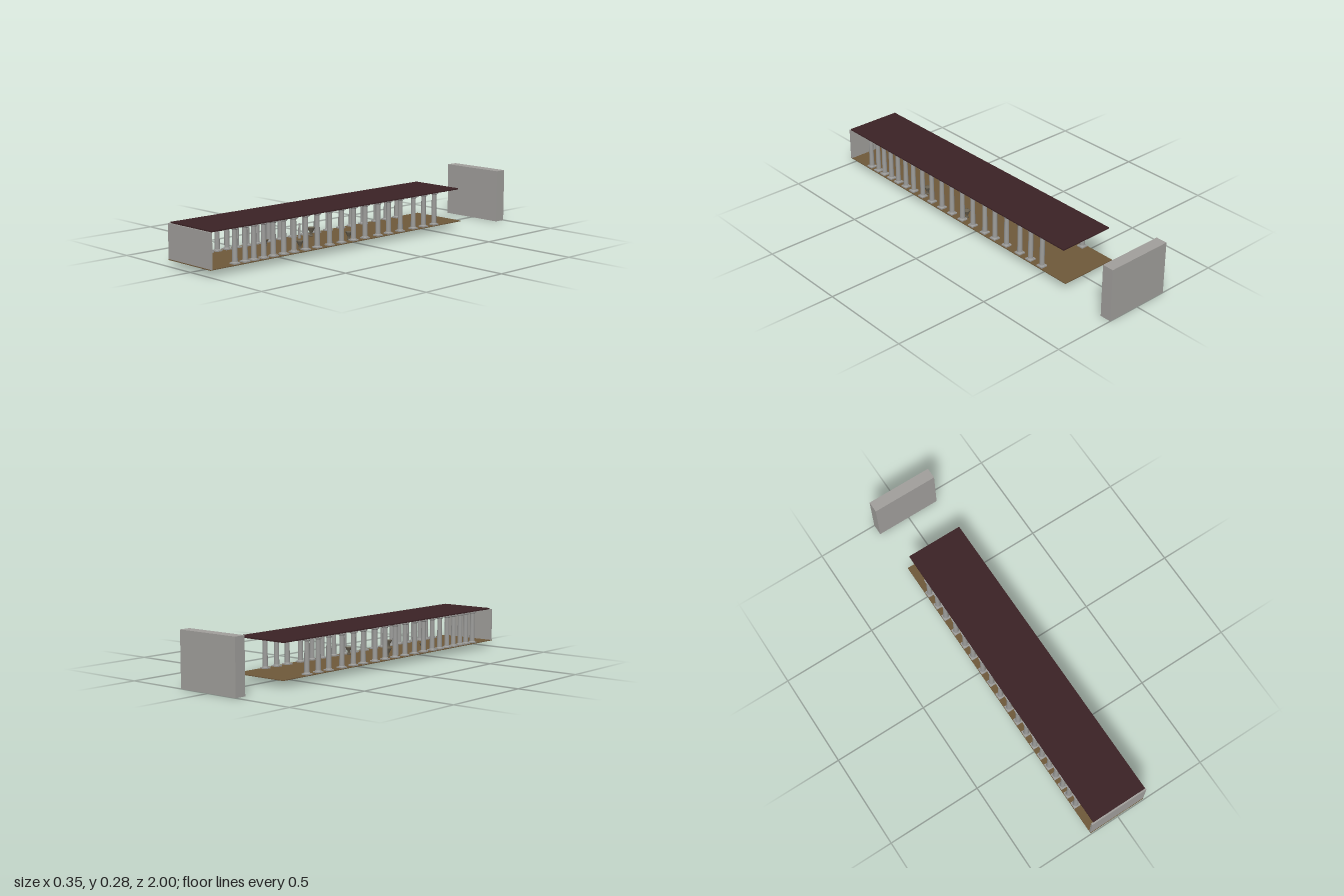
import * as THREE from 'three';

const mat = (name, color) => {
  const m = new THREE.MeshStandardMaterial({ color });
  m.name = name;
  return m;
};

export function createModel() {
  const root = new THREE.Group();
  root.name = 'colonnadeHall';
  const stone = mat('wall grey', 0xa09e9b);
  const pillar = mat('column grey', 0x9c9c9a);
  const timber = mat('dark roof timber', 0x3b2225);
  const earth = mat('brown floor', 0x6e583a);
  const bronze = mat('dull bronze', 0x6a6252);

  const add = (name, geo, material, parent = root) => {
    const mesh = new THREE.Mesh(geo, material);
    mesh.name = name;
    parent.add(mesh);
    return mesh;
  };
  // Box given by its minimum and maximum corners
  const box = (name, a, b, material, parent) => {
    const size = b.map((v, i) => v - a[i]);
    const mesh = add(name, new THREE.BoxGeometry(...size), material, parent);
    mesh.position.set(...a.map((v, i) => (v + b[i]) / 2));
    return mesh;
  };

  // Slabs and walls
  box('floor', [-0.165, 0.032, -0.68], [0.148, 0.036, 1], earth);
  box('roof', [-0.155, 0.206, -0.66], [0.147, 0.212, 0.99], timber);
  box('frontWall', [-0.165, 0.036, 0.988], [0.15, 0.206, 0.998], stone);
  box('backBlock', [-0.177, 0, -1], [0.176, 0.275, -0.94], stone);

  // Shallow battens under the roof
  for (let i = 0; i < 40; i++) {
    const z = -0.655 + i * 0.0415;
    box('roofBatten', [-0.15, 0.204, z], [0.142, 0.206, z + 0.012], timber);
  }

  // Two rows of round columns, spaced a little closer towards the front
  const rowZ = [0.84, 0.78, 0.727, 0.668, 0.609, 0.544, 0.48, 0.405, 0.33, 0.249,
    0.169, 0.088, 0.008, -0.083, -0.158, -0.244, -0.34, -0.416, -0.496];
  const shaft = new THREE.CylinderGeometry(0.0115, 0.013, 0.15, 16);
  const plinth = new THREE.BoxGeometry(0.036, 0.006, 0.036);
  const collar = new THREE.CylinderGeometry(0.014, 0.017, 0.005, 16);
  for (const x of [-0.145, 0.126]) {
    for (const z of rowZ) {
      const column = new THREE.Group();
      column.name = 'column';
      column.position.set(x, 0, z);
      add('shaft', shaft, pillar, column).position.y = 0.122;
      add('plinth', plinth, pillar, column).position.y = 0.039;
      add('baseCollar', collar, pillar, column).position.y = 0.0445;
      const top = add('topCollar', collar, pillar, column);
      top.position.y = 0.1985;
      top.rotation.x = Math.PI;
      const cap = add('capital', plinth, pillar, column);
      cap.position.y = 0.203;
      cap.scale.set(0.85, 1, 0.85);
      root.add(column);
    }
  }

  // Flared vessels standing in the hall
  const profile = [[0, 0], [0.011, 0], [0.011, 0.003], [0.006, 0.008], [0.009, 0.022],
    [0.021, 0.044], [0.018, 0.044], [0.007, 0.024], [0, 0.022]];
  const vessel = new THREE.LatheGeometry(profile.map(p => new THREE.Vector2(...p)), 14);
  for (const [x, z, s] of [[-0.1, 0.165, 1], [-0.08, 0.48, 0.7], [0.09, 0.41, 0.9], [0.095, 0.09, 0.9]]) {
    const v = add('vessel', vessel, bronze);
    v.position.set(x, 0.036, z);
    v.scale.setScalar(s);
  }
  // Slender post
  const post = add('post', new THREE.CylinderGeometry(0.005, 0.007, 0.075, 10), pillar);
  post.position.set(-0.1, 0.0735, 0.243);

  return root;
}
